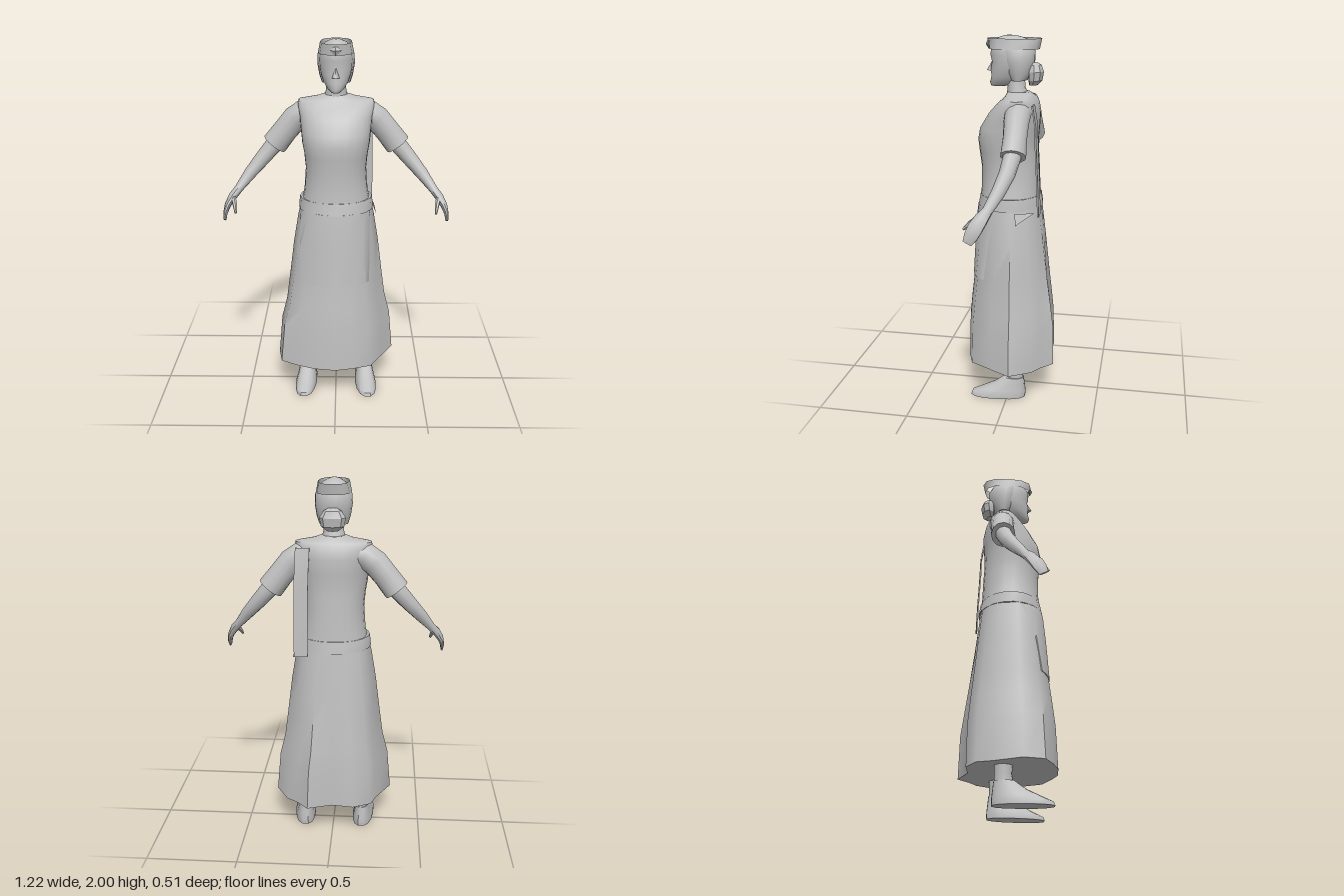
import * as THREE from 'three';
import { toCreasedNormals } from 'three/addons/utils/BufferGeometryUtils.js';

const V = (x, y, z) => new THREE.Vector3(x, y, z);

// Skin a list of equal-length closed rings, optionally capping both ends
function loft(rings, caps = true, crease = 0.8) {
  const n = rings[0].length, pos = [], idx = [];
  rings.forEach(r => r.forEach(p => pos.push(p.x, p.y, p.z)));
  for (let j = 0; j < rings.length - 1; j++) {
    for (let i = 0; i < n; i++) {
      const k = (i + 1) % n, a = j * n + i, b = a + n, c = (j + 1) * n + k, d = j * n + k;
      idx.push(a, b, d, b, c, d);
    }
  }
  if (caps) {
    [0, rings.length - 1].forEach((j, end) => {
      const m = V(0, 0, 0);
      rings[j].forEach(p => m.addScaledVector(p, 1 / n));
      const c = pos.length / 3;
      pos.push(m.x, m.y, m.z);
      for (let i = 0; i < n; i++) {
        const a = j * n + i, b = j * n + (i + 1) % n;
        if (end) idx.push(c, b, a); else idx.push(c, a, b);
      }
    });
  }
  const g = new THREE.BufferGeometry();
  g.setAttribute('position', new THREE.Float32BufferAttribute(pos, 3));
  g.setIndex(idx);
  return toCreasedNormals(g, crease);
}

// Horizontal oval ring: half width, front z, back z; pow < 1 is boxier
function oval(y, rx, zf, zb, n = 20, pow = 1, x = 0) {
  const f = v => Math.sign(v) * Math.abs(v) ** pow;
  return Array.from({ length: n }, (_, i) => {
    const a = i / n * Math.PI * 2;
    return V(x + f(Math.cos(a)) * rx, y, (zf + zb) / 2 + f(Math.sin(a)) * (zf - zb) / 2);
  });
}

// Rings across a path of [x, y, z, thickness, width along z]
function limb(path, side, n = 10) {
  const pts = path.map(p => V(p[0] * side, p[1], p[2]));
  return loft(pts.map((p, j) => {
    const d = pts[Math.min(j + 1, pts.length - 1)].clone().sub(pts[Math.max(j - 1, 0)]).normalize();
    const v = V(0, 0, 1).addScaledVector(d, -d.z).normalize();
    const u = d.clone().cross(v);
    return Array.from({ length: n }, (_, i) => {
      const a = i / n * Math.PI * 2;
      return p.clone().addScaledVector(u, Math.cos(a) * path[j][3]).addScaledVector(v, Math.sin(a) * path[j][4]);
    });
  }));
}

// Skirt plan at the hem, and its rows: y, half width, front z, back z, share of the hem shape
const hem = [[0.33, -0.03], [0.265, 0.085], [0.2, 0.2], [0.1, 0.235], [0, 0.257], [-0.12, 0.24], [-0.22, 0.2], [-0.31, 0.15],
  [-0.33, 0.04], [-0.25, -0.1], [-0.22, -0.18], [-0.12, -0.225], [0, -0.21], [0.135, -0.255], [0.2, -0.19], [0.26, -0.15]];
const skirtRows = [[0.2, 0.33, 0.257, 0.255, 1], [0.43, 0.31, 0.25, 0.25, 0.9], [0.55, 0.28, 0.238, 0.235, 0.75],
  [0.7, 0.26, 0.22, 0.215, 0.6], [0.9, 0.235, 0.207, 0.19, 0.4], [1.05, 0.21, 0.195, 0.17, 0.25], [1.12, 0.195, 0.185, 0.16, 0.1]];
const skirtRing = ([y, rx, zf, zb, t]) => hem.map(([x, z]) => {
  const ux = x / 0.33, uz = z / 0.256, l = Math.hypot(ux, uz);
  const px = ux * t + ux / l * (1 - t), pz = uz * t + uz / l * (1 - t);
  return V(px * rx, y, pz * (pz > 0 ? zf : zb));
});

// Front surface of a skirt ring at a given x
function frontZ(ring, x) {
  let z = 0;
  ring.forEach((a, i) => {
    const b = ring[(i + 1) % ring.length];
    if ((a.x - x) * (b.x - x) <= 0 && a.x !== b.x) z = Math.max(z, a.z + (b.z - a.z) * (x - a.x) / (b.x - a.x));
  });
  return z;
}

// Thin panel lying on the front of the skirt
function apronPanel(x0, x1) {
  const rings = [skirtRows[3], skirtRows[4], skirtRows[5], [1.1, 0.199, 0.188, 0.163, 0.14]].map(row => {
    const ring = skirtRing(row), out = [], back = [];
    for (let i = 0; i <= 4; i++) {
      const x = THREE.MathUtils.lerp(x1, x0, i / 4), z = frontZ(ring, x);
      out.push(V(x, row[0], z + 0.006));
      back.unshift(V(x, row[0], z - 0.002));
    }
    return [...out, ...back];
  });
  return loft(rings);
}

export function createModel() {
  const group = new THREE.Group();
  const grey = new THREE.MeshStandardMaterial({ color: 0xc0c0c0, side: THREE.DoubleSide });
  grey.name = 'plain grey';
  const add = (name, geo) => {
    const m = new THREE.Mesh(geo, grey);
    m.name = name;
    group.add(m);
    return m;
  };

  // Clothing
  add('skirt', loft(skirtRows.map(skirtRing)));
  add('waistband', loft([[1.095, 0.203, 0.191, -0.167], [1.13, 0.2, 0.184, -0.162], [1.16, 0.196, 0.178, -0.157]]
    .map(r => oval(...r, 20))));
  add('apronPanelRight', apronPanel(-0.195, -0.04));
  add('apronPanelLeft', apronPanel(0.04, 0.185));
  add('blouse', loft([[1.1, 0.195, 0.18, -0.155], [1.2, 0.172, 0.17, -0.148], [1.32, 0.163, 0.17, -0.143], [1.4, 0.17, 0.18, -0.138],
    [1.46, 0.18, 0.186, -0.137], [1.52, 0.186, 0.175, -0.142], [1.6, 0.195, 0.125, -0.147], [1.65, 0.205, 0.08, -0.137],
    [1.68, 0.2, 0.045, -0.12], [1.695, 0.11, 0.035, -0.105], [1.71, 0.065, 0.03, -0.09]].map(r => oval(...r, 24, 0.9)), true, 1.1));

  // Long strip hanging behind the left shoulder, with a loose flap at the hip
  add('backStrip', loft([[1.08, 0.167, -0.172], [1.25, 0.167, -0.166], [1.42, 0.165, -0.157], [1.56, 0.16, -0.152], [1.66, 0.155, -0.135]]
    .map(([y, x, z]) => [V(x + 0.037, y, z), V(x + 0.037, y, z + 0.008), V(x - 0.037, y, z + 0.008), V(x - 0.037, y, z)])));
  const flap = new THREE.BufferGeometry().setFromPoints([V(0.21, 1.095, -0.045), V(0.225, 1.03, -0.05), V(0.19, 1.095, -0.145)]);
  flap.computeVertexNormals();
  add('hipFlap', flap);

  // Neck and face
  add('neck', loft([[1.68, 0.068, 0.035, -0.09], [1.73, 0.054, 0.03, -0.065], [1.8, 0.05, 0.04, -0.06]].map(r => oval(...r, 14))));
  add('head', loft([[1.738, 0.025, 0.118, 0.04], [1.755, 0.045, 0.126, -0.02], [1.785, 0.065, 0.117, -0.06], [1.83, 0.08, 0.121, -0.085],
    [1.865, 0.086, 0.113, -0.1], [1.9, 0.088, 0.122, -0.108], [1.94, 0.084, 0.118, -0.105], [1.972, 0.065, 0.1, -0.085],
    [1.992, 0.035, 0.07, -0.045], [2, 0.012, 0.04, -0.01]].map(r => oval(...r, 20)), true, 1.1));
  const nose = add('nose', new THREE.ConeGeometry(0.02, 0.055, 4));
  nose.position.set(0, 1.843, 0.117);
  nose.rotation.x = -0.15;

  // Hair shell, bun and headband
  add('hair', loft([[1.77, 0.075, 0.01, -0.075], [1.81, 0.088, 0.04, -0.1], [1.87, 0.098, 0.065, -0.115], [1.92, 0.096, 0.08, -0.116],
    [1.955, 0.08, 0.085, -0.1], [1.982, 0.055, 0.07, -0.075], [1.997, 0.02, 0.045, -0.02]].map(r => oval(...r, 18)), true, 1.1));
  add('bun', loft([[1.745, 0.03, -0.085, -0.13], [1.77, 0.06, -0.08, -0.155], [1.815, 0.068, -0.08, -0.163], [1.85, 0.045, -0.085, -0.15],
    [1.863, 0.02, -0.09, -0.13]].map(r => oval(...r, 8)), true, 0.5));
  add('headband', loft([[1.93, 0.093, 0.13, -0.14], [1.985, 0.082, 0.138, -0.152]].map(r => oval(...r, 12, 0.85)), false));
  const knot = add('headbandKnot', new THREE.OctahedronGeometry(0.03));
  knot.scale.set(1, 0.9, 0.5);
  knot.position.set(0, 1.955, 0.132);

  for (const side of [1, -1]) {
    const s = side > 0 ? 'Left' : 'Right';
    // Sleeve, arm and hand
    add('sleeve' + s, limb([[0.13, 1.615, -0.05, 0.06, 0.07], [0.165, 1.608, -0.052, 0.07, 0.07], [0.22, 1.57, -0.055, 0.07, 0.065],
      [0.275, 1.505, -0.058, 0.067, 0.062], [0.335, 1.428, -0.06, 0.07, 0.066]], side, 12));
    add('arm' + s, limb([[0.28, 1.5, -0.058, 0.05, 0.048], [0.335, 1.43, -0.056, 0.047, 0.046], [0.4, 1.355, -0.042, 0.042, 0.042],
      [0.47, 1.275, -0.01, 0.034, 0.035], [0.53, 1.2, 0.03, 0.023, 0.027], [0.56, 1.165, 0.055, 0.023, 0.036],
      [0.585, 1.125, 0.08, 0.018, 0.04], [0.598, 1.085, 0.1, 0.012, 0.036], [0.6, 1.05, 0.118, 0.007, 0.025]], side));
    add('thumb' + s, limb([[0.555, 1.165, 0.075, 0.014, 0.016], [0.543, 1.135, 0.115, 0.012, 0.013], [0.535, 1.1, 0.152, 0.006, 0.007]], side, 6));
    // Leg and foot
    add('leg' + s, loft([[0.04, 0.042, 0.01, -0.09], [0.1, 0.038, 0.015, -0.088], [0.16, 0.037, 0.003, -0.085], [0.32, 0.048, 0.02, -0.095]]
      .map(r => oval(...r, 12, 1, side * 0.162))));
    add('foot' + s, loft([[0, 0.06, 0.212, -0.1], [0.02, 0.06, 0.205, -0.102], [0.045, 0.053, 0.15, -0.1], [0.08, 0.045, 0.075, -0.095],
      [0.12, 0.038, 0.02, -0.09]].map(r => oval(...r, 14, 0.85, side * 0.168).map(p => {
        p.x += side * (p.z + 0.03) * 0.07;
        return p;
      }))));
  }
  return group;
}
